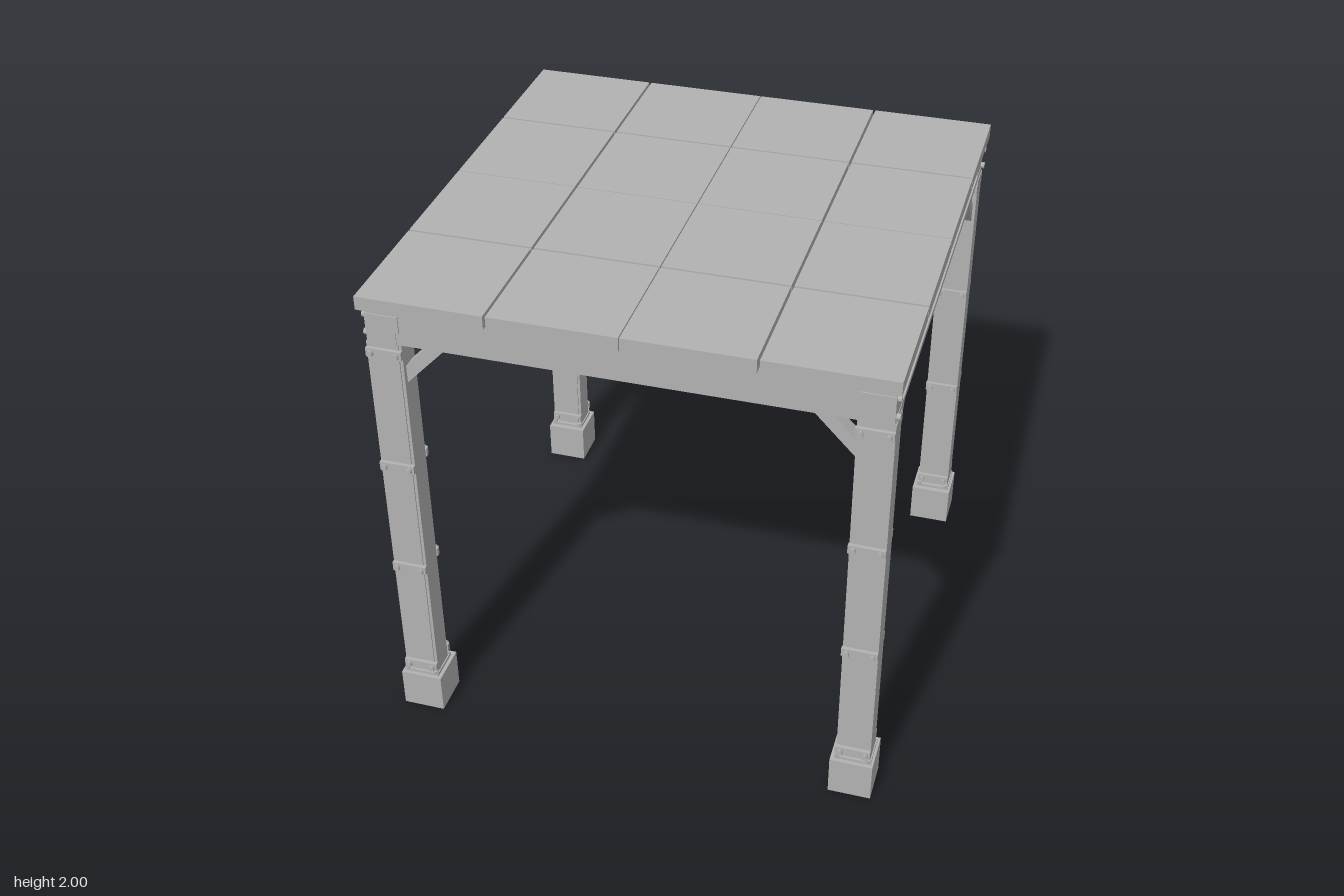
import * as THREE from 'three';

const grey = new THREE.MeshStandardMaterial({ color: 0xb2b2b2 });
grey.name = 'concrete grey';

export function createModel() {
  const model = new THREE.Group();
  model.name = 'pavilion';

  // box given by its minimum and maximum on each axis
  function box(name, parent, x0, x1, y0, y1, z0, z1) {
    const m = new THREE.Mesh(new THREE.BoxGeometry(x1 - x0, y1 - y0, z1 - z0), grey);
    m.position.set((x0 + x1) / 2, (y0 + y1) / 2, (z0 + z1) / 2);
    m.name = name;
    parent.add(m);
    return m;
  }

  // hexagonal bolt along x, y or z
  function bolt(parent, axis, x, y, z, r, len) {
    const m = new THREE.Mesh(new THREE.CylinderGeometry(r, r, len, 6), grey);
    if (axis === 'z') m.rotation.x = Math.PI / 2;
    if (axis === 'x') m.rotation.z = Math.PI / 2;
    m.position.set(x, y, z);
    m.name = 'bolt';
    parent.add(m);
  }

  // I-section beam running along z
  function iBeam(name, x, width, y0, y1, flange, web, halfLength) {
    const g = new THREE.Group();
    g.name = name;
    const w = width / 2;
    box('topFlange', g, x - w, x + w, y1 - flange, y1, -halfLength, halfLength);
    box('bottomFlange', g, x - w, x + w, y0, y0 + flange, -halfLength, halfLength);
    box('web', g, x - web / 2, x + web / 2, y0 + flange, y1 - flange, -halfLength, halfLength);
    model.add(g);
  }

  // sloping brace between two points, square to its own axis
  function brace(name, parent, a, b, across, depth) {
    const dir = b.clone().sub(a);
    const m = new THREE.Mesh(new THREE.BoxGeometry(across, dir.length(), depth), grey);
    m.position.copy(a).add(b).multiplyScalar(0.5);
    m.quaternion.setFromUnitVectors(new THREE.Vector3(0, 1, 0), dir.normalize());
    m.name = name;
    parent.add(m);
  }

  for (const sx of [-1, 1]) for (const sz of [-1, 1]) {
    const post = new THREE.Group();
    post.name = 'post';
    model.add(post);

    // mirrored box in the post's corner
    const part = (name, x0, x1, y0, y1, z0, z1) => box(name, post,
      Math.min(sx * x0, sx * x1), Math.max(sx * x0, sx * x1), y0, y1,
      Math.min(sz * z0, sz * z1), Math.max(sz * z0, sz * z1));

    part('footing', 0.823, 0.995, 0, 0.17, 0.823, 0.995);
    part('basePlate', 0.838, 0.985, 0.17, 0.183, 0.845, 0.98);
    for (const x of [0.85, 0.973]) for (const z of [0.852, 0.973])
      bolt(post, 'y', sx * x, 0.183, sz * z, 0.01, 0.018);
    part('column', 0.855, 0.98, 0.17, 1.8, 0.86, 0.97);
    part('columnLiner', 0.843, 0.855, 0.18, 1.8, 0.865, 0.965);

    // clamps bolted on the front and back faces
    for (const y of [0.22, 0.74, 1.24, 1.76]) {
      part('clampPlate', 0.84, 0.98, y - 0.018, y + 0.018, 0.968, 0.985);
      part('clampPlate', 0.84, 0.98, y - 0.018, y + 0.018, 0.845, 0.862);
      for (const x of [0.86, 0.96]) for (const z of [0.838, 0.99])
        bolt(post, 'z', sx * x, y, sz * z, 0.013, 0.02);
    }

    // corner plate and bolts at the beam joint
    part('jointPlate', 0.845, 0.975, 1.85, 1.92, 0.965, 0.972);
    part('jointBlock', 0.86, 0.975, 1.8, 1.85, 0.86, 0.97);
    for (const y of [1.83, 1.905]) bolt(post, 'x', sx * 0.98, y, sz * 0.952, 0.013, 0.02);

    // knee braces up to the cross beam and the side beam
    brace('frontKneeBrace', post,
      new THREE.Vector3(sx * 0.865, 1.637, sz * 0.915),
      new THREE.Vector3(sx * 0.67, 1.842, sz * 0.915), 0.05, 0.06);
    brace('sideKneeBrace', post,
      new THREE.Vector3(sx * 0.94, 1.627, sz * 0.875),
      new THREE.Vector3(sx * 0.94, 1.848, sz * 0.67), 0.055, 0.05);
  }

  // front and back beams
  for (const s of [-1, 1])
    box('crossBeam', model, -0.975, 0.975, 1.8, 1.945, s * 0.915 - 0.052, s * 0.915 + 0.052);

  // side beams and inner joists
  for (const s of [-1, 1]) iBeam('sideBeam', s * 0.912, 0.13, 1.8, 1.945, 0.022, 0.02, 0.96);
  for (const x of [-0.5, 0, 0.5]) iBeam('joist', x, 0.06, 1.83, 1.945, 0.015, 0.02, 0.87);

  // roof slabs in a four by four grid
  const edges = [[-0.995, -0.503], [-0.493, -0.002], [0.002, 0.493], [0.503, 0.995]];
  for (const [x0, x1] of edges) for (const [z0, z1] of edges)
    box('roofSlab', model, x0, x1, 1.945, 2, z0, z1);

  return model;
}
